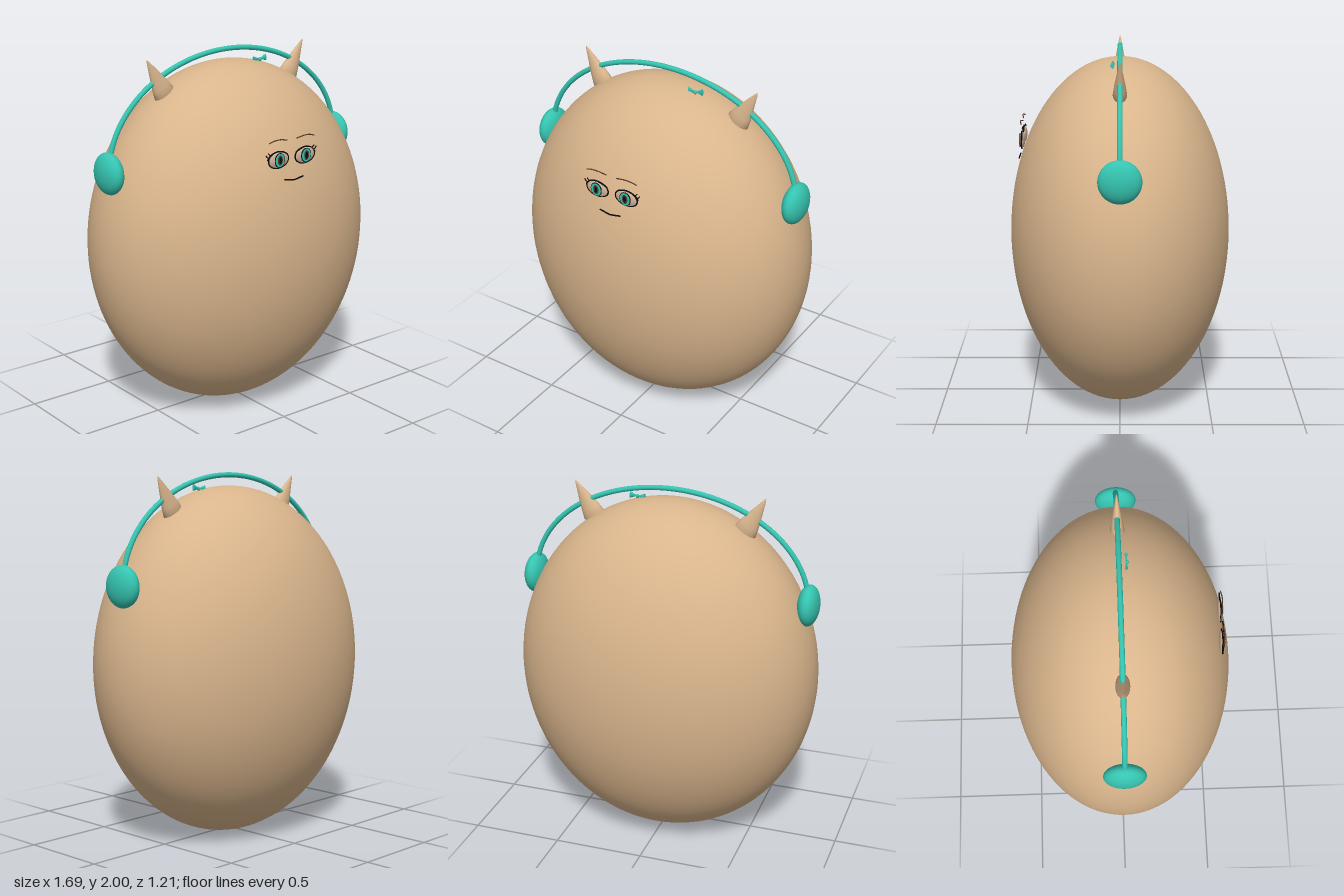
import * as THREE from 'three';

const material = (name, color, side = THREE.FrontSide) => {
  const m = new THREE.MeshStandardMaterial({ color, side });
  m.name = name;
  return m;
};

export function createModel() {
  const model = new THREE.Group();
  const tan = material('tan', 0xd9b58c);
  const teal = material('teal', 0x35c4b0);
  const black = material('black', 0x0c0a0a, THREE.DoubleSide);
  const brown = material('brown', 0x5a3a2a);
  const sclera = material('eye beige', 0xd2b49a);

  const add = (name, geometry, mat, x = 0, y = 0, z = 0, parent = model) => {
    const mesh = new THREE.Mesh(geometry, mat);
    mesh.name = name;
    mesh.position.set(x, y, z);
    parent.add(mesh);
    return mesh;
  };
  const ellipsoid = (rx, ry, rz, w = 32, h = 20) => new THREE.SphereGeometry(1, w, h).scale(rx, ry, rz);
  const tube = (points, radius, segments = 16) => new THREE.TubeGeometry(
    new THREE.CatmullRomCurve3(points.map(p => new THREE.Vector3(...p))), segments, radius, 6);

  // Egg-shaped body, flattened front to back
  add('body', ellipsoid(0.845, 0.964, 0.605, 96, 64), tan, 0, 0.964, 0);

  // Headband arching from ear to ear
  const arc = [];
  for (let i = 0; i <= 24; i++) {
    const a = Math.PI * i / 24;
    arc.push(new THREE.Vector3(0.78 * Math.cos(a), 1.42 + 0.566 * Math.sin(a), 0));
  }
  add('headband', new THREE.TubeGeometry(new THREE.CatmullRomCurve3(arc), 96, 0.014, 12), teal);

  for (const s of [-1, 1]) {
    const side = s > 0 ? 'left' : 'right';
    add(side + 'EarCup', ellipsoid(0.059, 0.112, 0.112), teal, s * 0.782, 1.42, 0);

    // Horn leaning outward, oval in section
    const horn = new THREE.LatheGeometry([
      [0, -0.01], [0.045, -0.008], [0.064, 0], [0.054, 0.045], [0.04, 0.095], [0.02, 0.16], [0.008, 0.2], [0, 0.217],
    ].map(p => new THREE.Vector2(...p)), 24).scale(1, 1, 0.58);
    add(side + 'Horn', horn, tan, s * 0.425, 1.795, 0).rotation.z = -s * 0.522;

    // Eye: flattened ball, rim, iris, pupil and lashes
    const eye = new THREE.Group();
    eye.name = side + 'Eye';
    eye.position.set(s * 0.09, 1.49, 0.53);
    model.add(eye);
    add('eyeball', ellipsoid(0.066, 0.043, 0.014), sclera, 0, 0, 0, eye);
    add('eyeRim', new THREE.TorusGeometry(1, 0.07, 6, 40).scale(0.067, 0.044, 0.05), black, 0, 0, 0.002, eye);
    const plate = (name, rx, ry, mat, z, x = 0) =>
      add(name, new THREE.CylinderGeometry(1, 1, 0.004, 28).rotateX(Math.PI / 2).scale(rx, ry, 1), mat, x, 0, z, eye);
    plate('irisRim', 0.034, 0.038, black, 0.0125);
    plate('iris', 0.03, 0.035, teal, 0.014);
    plate('innerIris', 0.016, 0.026, brown, 0.0155);
    plate('pupil', 0.008, 0.019, black, 0.017);
    add('upperLash', tube([[-s * 0.06, 0.022, 0], [0, 0.045, 0.004], [s * 0.05, 0.03, 0], [s * 0.072, 0.006, 0]], 0.004), black, 0, 0, 0, eye);
    for (const [x, y, dx, dy] of [[0.048, 0.03, 0.018, 0.013], [0.06, 0.016, 0.022, 0.018]])
      add('lash', tube([[s * x, y, 0], [s * (x + dx * 0.6), y + dy * 0.4, 0], [s * (x + dx), y + dy, 0]], 0.003, 6), black, 0, 0, 0, eye);

    // Thin arched eyebrow
    add(side + 'Eyebrow', tube([[s * 0.03, 1.586, 0.53], [s * 0.085, 1.597, 0.537], [s * 0.125, 1.594, 0.535], [s * 0.155, 1.584, 0.53]], 0.003), brown);
  }

  // Gently curved mouth
  add('mouth', tube([[-0.064, 1.384, 0.552], [-0.03, 1.379, 0.554], [0, 1.375, 0.555], [0.03, 1.379, 0.554], [0.064, 1.384, 0.552]], 0.004), black);

  // Small bow on top of the head
  const bow = new THREE.Group();
  bow.name = 'bow';
  bow.position.set(0.19, 1.912, 0.04);
  bow.rotation.z = 0.08;
  model.add(bow);
  for (const s of [-1, 1]) {
    const loop = new THREE.ConeGeometry(0.019, 0.042, 12).rotateZ(s * Math.PI / 2).scale(1, 1, 0.45);
    add('bowLoop', loop, teal, s * 0.021, 0.003, -0.002, bow);
  }
  add('bowKnot', ellipsoid(0.011, 0.011, 0.009, 12, 8), teal, 0, 0, 0.002, bow);

  return model;
}
